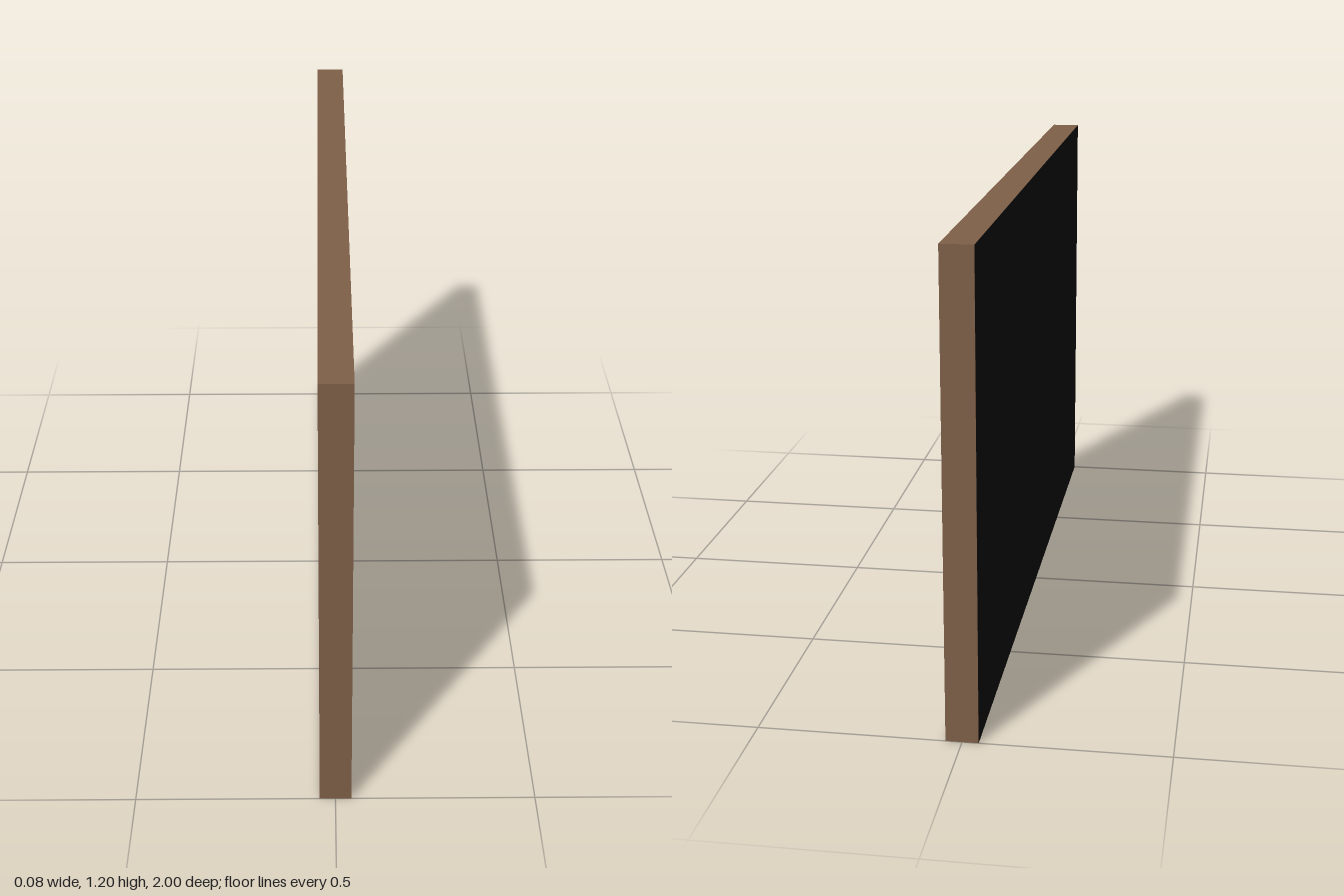
import * as THREE from 'three';

const WIDTH = 2, HEIGHT = 1.2, DEPTH = 0.08, BORDER = 0.2, RECESS = 0.02;
const GAP = 0.0005; // keeps the backing just clear of the frame

// Rectangle centred on the origin
function rectangle(Type, w, h) {
  return new Type([[-w, -h], [w, -h], [w, h], [-w, h]].map(([x, y]) => new THREE.Vector2(x / 2, y / 2)));
}

function addPart(parent, name, geometry, color, z) {
  const mesh = new THREE.Mesh(geometry, new THREE.MeshStandardMaterial({ color }));
  mesh.name = name;
  mesh.position.z = z;
  parent.add(mesh);
}

export function createModel() {
  const model = new THREE.Group();
  model.name = 'framedPanel';
  const innerW = WIDTH - 2 * BORDER, innerH = HEIGHT - 2 * BORDER;

  // Wooden border with a rectangular opening
  const outline = rectangle(THREE.Shape, WIDTH, HEIGHT);
  outline.holes.push(rectangle(THREE.Path, innerW, innerH));
  const frame = new THREE.ExtrudeGeometry(outline, { depth: DEPTH - GAP, bevelEnabled: false });
  addPart(model, 'frame', frame, 0x7f6048, -DEPTH / 2 + GAP);

  // Panel set back inside the opening
  addPart(model, 'panel', new THREE.PlaneGeometry(innerW, innerH), 0xcccccc, DEPTH / 2 - RECESS);

  // Black backing over the whole rear
  const backing = new THREE.PlaneGeometry(WIDTH, HEIGHT).rotateY(Math.PI);
  addPart(model, 'backing', backing, 0x111111, -DEPTH / 2);

  // The panel looks toward +x and the base rests on the ground
  model.rotation.y = Math.PI / 2;
  model.position.y = HEIGHT / 2;
  return model;
}
